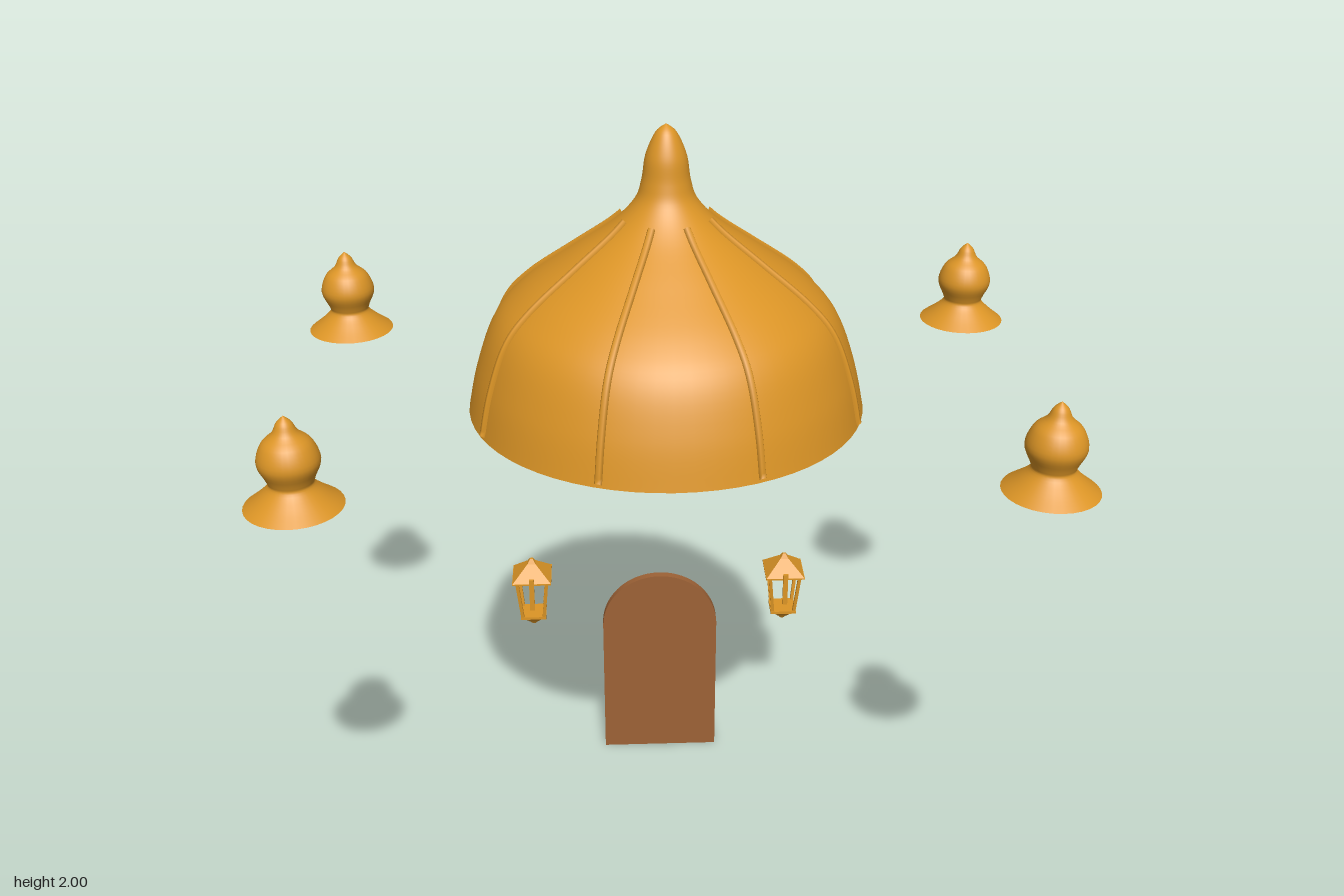
import * as THREE from 'three';

const gold = new THREE.MeshStandardMaterial({ color: 0xdc9526 });
gold.name = 'gold';
const wood = new THREE.MeshStandardMaterial({ color: 0x9d6236 });
wood.name = 'wood';

function add(parent, name, geometry, material, x = 0, y = 0, z = 0) {
  const mesh = new THREE.Mesh(geometry, material);
  mesh.name = name;
  mesh.position.set(x, y, z);
  parent.add(mesh);
  return mesh;
}

const spline = (pts, n) =>
  new THREE.SplineCurve(pts.map(([r, y]) => new THREE.Vector2(r, y))).getPoints(n);

// Turned body with a flat closed underside
function turned(parent, name, points, segments) {
  add(parent, name, new THREE.LatheGeometry(points, segments), gold);
  const cap = new THREE.CircleGeometry(points[0].x, segments).rotateX(Math.PI / 2);
  add(parent, name + 'Underside', cap, gold, 0, points[0].y, 0);
}

// Square tapered block with flat faces
function taper(halfTop, halfBottom, height) {
  const g = new THREE.CylinderGeometry(halfTop * Math.SQRT2, halfBottom * Math.SQRT2, height, 4)
    .rotateY(Math.PI / 4).toNonIndexed();
  g.computeVertexNormals();
  return g;
}

// Thin square bar between two points
function bar(parent, name, a, b, width) {
  const from = new THREE.Vector3(...a), to = new THREE.Vector3(...b);
  const mesh = add(parent, name, new THREE.BoxGeometry(width, from.distanceTo(to), width), gold);
  mesh.position.copy(from).add(to).multiplyScalar(0.5);
  mesh.quaternion.setFromUnitVectors(new THREE.Vector3(0, 1, 0), to.sub(from).normalize());
}

function createDome() {
  const dome = new THREE.Group();
  dome.name = 'dome';
  const profile = spline([
    [0.465, 1.335], [0.441, 1.44], [0.398, 1.55], [0.335, 1.62], [0.225, 1.7], [0.125, 1.772],
    [0.072, 1.828], [0.055, 1.875], [0.046, 1.93], [0.024, 1.98], [0, 2],
  ], 60);
  turned(dome, 'domeShell', profile, 64);

  // Raised ribs follow the profile
  const path = profile.filter((p) => p.y < 1.795).map((p) => new THREE.Vector3(p.x, p.y, 0));
  path[0].y += 0.008;
  const rib = new THREE.TubeGeometry(new THREE.CatmullRomCurve3(path), 40, 0.009, 6);
  for (let i = 0; i < 8; i++) {
    const angle = THREE.MathUtils.degToRad(24.3 + 45 * i);
    add(dome, 'domeRib', rib, gold).rotation.y = angle;
  }
  return dome;
}

function createFinial(x, z) {
  const finial = new THREE.Group();
  finial.name = 'cornerFinial';
  const profile = spline([
    [0.107, 1.335], [0.075, 1.36], [0.05, 1.385], [0.052, 1.402], [0.067, 1.44],
    [0.054, 1.48], [0.028, 1.505], [0.016, 1.528], [0, 1.543],
  ], 36);
  turned(finial, 'finialBody', profile, 32);
  finial.position.set(x, 0, z);
  return finial;
}

function createDoor() {
  const door = new THREE.Group();
  door.name = 'door';
  const shape = new THREE.Shape();
  shape.moveTo(-0.163, 0);
  shape.lineTo(0.163, 0);
  shape.lineTo(0.163, 0.425);
  shape.absarc(0, 0.425, 0.163, 0, Math.PI, false);
  shape.closePath();
  const panel = new THREE.ExtrudeGeometry(shape, { depth: 0.022, bevelEnabled: false, curveSegments: 32 });
  add(door, 'doorPanel', panel, wood, 0, 0, -0.446);

  // Leaf-shaped hinge plate, drawn from its outer edge inward
  const leaf = new THREE.Shape();
  leaf.moveTo(0, -0.018);
  leaf.lineTo(0.03, -0.013);
  leaf.quadraticCurveTo(0.045, -0.034, 0.062, -0.018);
  leaf.lineTo(0.08, 0);
  leaf.lineTo(0.062, 0.018);
  leaf.quadraticCurveTo(0.045, 0.034, 0.03, 0.013);
  leaf.lineTo(0, 0.018);
  const hinge = new THREE.ExtrudeGeometry(leaf, { depth: 0.003, bevelEnabled: false });
  for (const side of [-1, 1]) {
    for (const y of [0.1, 0.405]) {
      const plate = add(door, 'hinge', hinge, gold, side * 0.163, y, side > 0 ? -0.446 : -0.449);
      plate.rotation.y = side > 0 ? Math.PI : 0;
    }
    const knob = add(door, 'knob', new THREE.SphereGeometry(0.026, 24, 16), wood, side * 0.05, 0.223, -0.459);
    knob.scale.z = 0.65;
    const stem = new THREE.CylinderGeometry(0.012, 0.012, 0.012, 16).rotateX(Math.PI / 2);
    add(door, 'knobStem', stem, wood, side * 0.05, 0.223, -0.448);
  }
  return door;
}

function createLantern(x) {
  const lantern = new THREE.Group();
  lantern.name = 'lantern';
  add(lantern, 'lanternRoof', taper(0.012, 0.056, 0.042), gold, 0, 0.554, 0);
  add(lantern, 'roofEave', new THREE.BoxGeometry(0.112, 0.004, 0.112), gold, 0, 0.532, 0);
  add(lantern, 'roofTip', taper(0.004, 0.012, 0.014), gold, 0, 0.581, 0);
  add(lantern, 'lanternFloor', new THREE.BoxGeometry(0.074, 0.008, 0.074), gold, 0, 0.406, 0);
  add(lantern, 'lanternBase', taper(0.03, 0.012, 0.022), gold, 0, 0.391, 0);
  add(lantern, 'lanternTip', taper(0.012, 0.004, 0.012), gold, 0, 0.375, 0);

  // Corner posts and upper frame
  const top = 0.043, bottom = 0.031;
  for (let i = 0; i < 4; i++) {
    const sx = i === 0 || i === 3 ? 1 : -1, sz = i < 2 ? 1 : -1;
    bar(lantern, 'post', [sx * bottom, 0.408, sz * bottom], [sx * top, 0.532, sz * top], 0.009);
    const a = i * Math.PI / 2, c = Math.round(Math.cos(a)), s = Math.round(Math.sin(a));
    bar(lantern, 'topFrame', [top * (c - s), 0.527, top * (s + c)], [top * (c + s), 0.527, top * (s - c)], 0.007);
  }

  // Wall bracket
  add(lantern, 'bracketPlate', new THREE.BoxGeometry(0.014, 0.1, 0.008), gold, 0, 0.5, 0.058);
  bar(lantern, 'bracketArm', [0, 0.533, 0.058], [0, 0.533, 0.03], 0.009);
  lantern.position.set(x, 0, -0.539);
  return lantern;
}

export function createModel() {
  const model = new THREE.Group();
  model.name = 'domedPavilionParts';
  model.add(createDome(), createDoor());
  for (const x of [-1, 1]) {
    for (const z of [-1, 1]) model.add(createFinial(x * 0.803, z * 0.483));
    model.add(createLantern(x * 0.366));
  }
  return model;
}
